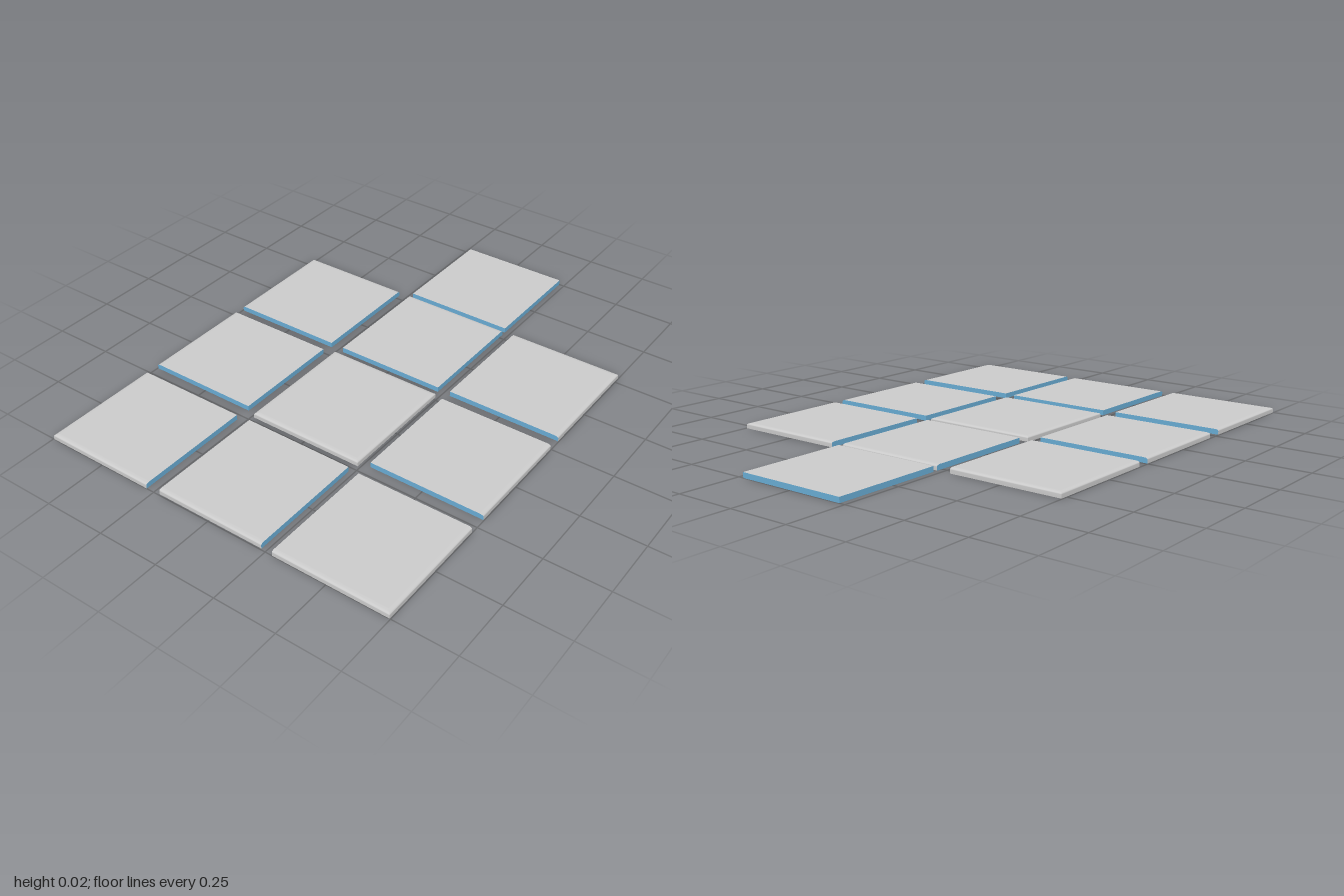
import * as THREE from 'three';

const grey = new THREE.MeshStandardMaterial({ color: 0xcccccc });
const blue = new THREE.MeshStandardMaterial({ color: 0x6aaed6 });

// Rounded nosing profile from top to bottom: [outward offset, height]
const NOSE = 0.017;
const profile = [[0, 0.021], [0.008, 0.0205], [0.013, 0.019], [0.016, 0.0165], [NOSE, 0.014], [NOSE, 0]];

// Side order, counter-clockwise from above
const SIDES = ['+x', '-z', '-x', '+z'];

function part(name, points, index, material) {
  const g = new THREE.BufferGeometry();
  g.setAttribute('position', new THREE.Float32BufferAttribute(points.flat(), 3));
  g.setIndex(index);
  g.computeVertexNormals();
  const mesh = new THREE.Mesh(g, material);
  mesh.name = name;
  return mesh;
}

// One tile: outer extents, plus the sides that carry a rounded nosing
function makeTile(name, x0, x1, z0, z1, nosed) {
  const tile = new THREE.Group();
  tile.name = name;
  const has = SIDES.map((s) => nosed.includes(s));
  const loops = profile.map(([offset, y]) => {
    const [px, nz, nx, pz] = has.map((h) => (h ? NOSE - offset : 0));
    const r = x1 - px, l = x0 + nx, b = z0 + nz, f = z1 - pz;
    return [[r, y, f], [r, y, b], [l, y, b], [l, y, f]];
  });

  // Faces
  tile.add(part('tileTop', loops[0], [0, 1, 2, 0, 2, 3], grey));
  tile.add(part('tileBottom', loops[loops.length - 1], [0, 2, 1, 0, 3, 2], grey));

  // Edges: grey nosing where finished, plain blue where cut straight
  SIDES.forEach((side, i) => {
    const points = [], index = [];
    loops.forEach((loop, k) => {
      points.push(loop[i], loop[(i + 1) % 4]);
      if (k === 0) return;
      const a = 2 * k - 2;
      index.push(a, a + 2, a + 3, a, a + 3, a + 1);
    });
    tile.add(part(has[i] ? 'roundedEdge' : 'straightEdge', points, index, has[i] ? grey : blue));
  });
  return tile;
}

export function createModel() {
  const model = new THREE.Group();
  model.name = 'floorTiles';
  const tiles = [
    ['backRightTile', -1, -0.525, -0.747, -0.283, ['-x', '-z']],
    ['backMiddleTile', -0.46, -0.003, -0.747, -0.283, ['-z']],
    ['backLeftTile', 0.05, 0.525, -0.747, -0.283, ['+x', '-z']],
    ['middleRightTile', -0.995, -0.521, -0.226, 0.23, ['-x']],
    ['centreTile', -0.48, 0.016, -0.24, 0.24, SIDES],
    ['middleLeftTile', 0.05, 0.525, -0.226, 0.228, ['+x']],
    ['plainTile', 0.544, 1, -0.226, 0.228, []],
    ['frontRightTile', -1, -0.528, 0.279, 0.747, ['-x', '+z']],
    ['frontMiddleTile', -0.457, 0, 0.279, 0.747, ['+z']],
    ['frontLeftTile', 0.055, 0.53, 0.279, 0.747, ['+x', '+z']],
  ];
  tiles.forEach((t) => model.add(makeTile(...t)));
  return model;
}
